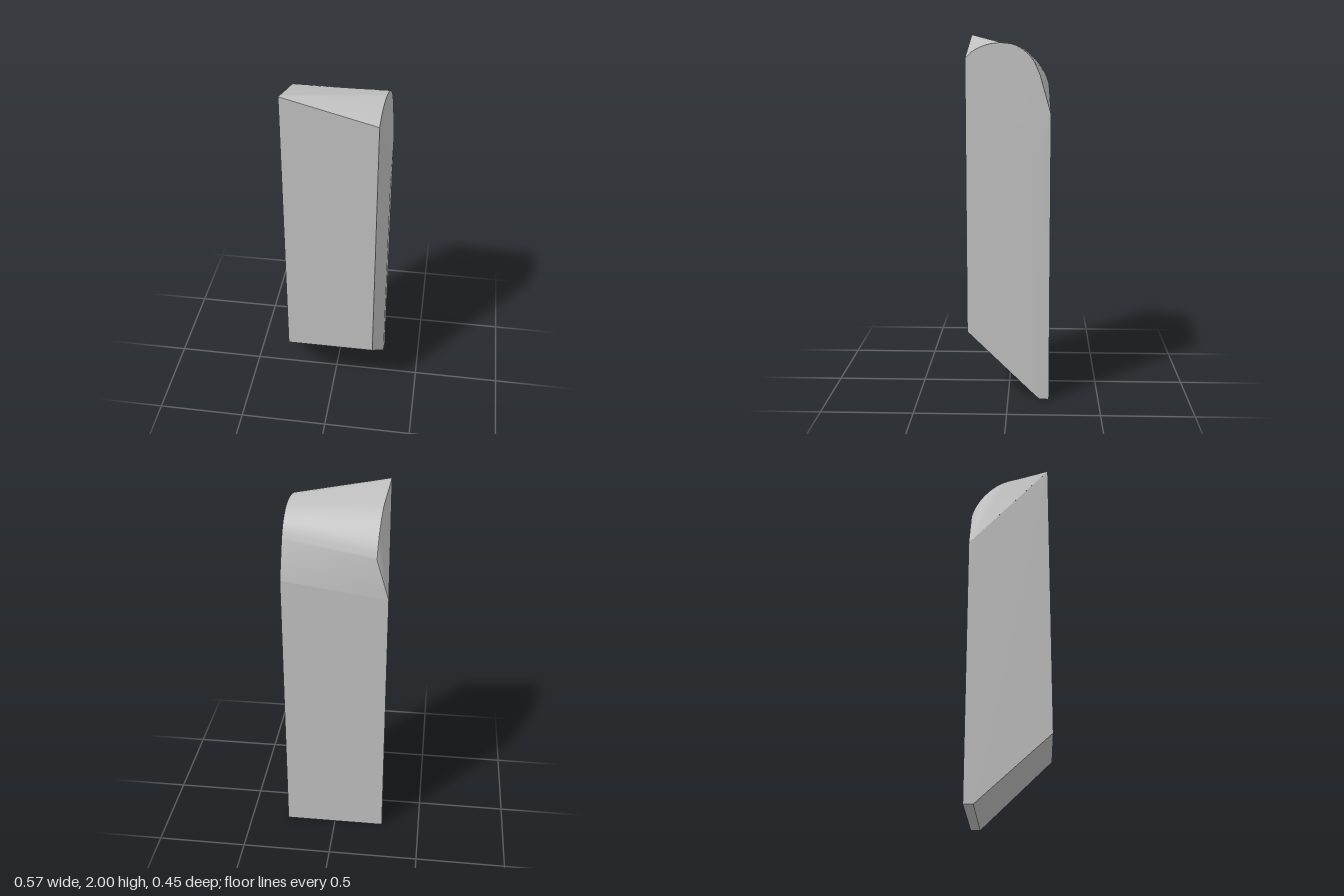
import * as THREE from 'three';

const V = (x, y, z) => new THREE.Vector3(x, y, z);

export function createModel() {
  const group = new THREE.Group();
  group.name = 'taperedBlock';
  const grey = new THREE.MeshStandardMaterial({ color: 0xc0c0c0 });
  grey.name = 'plain grey';

  // Makes one smooth surface from points and triangle indices
  function surface(name, points, index) {
    const geo = new THREE.BufferGeometry().setFromPoints(points);
    geo.setIndex(index);
    geo.computeVertexNormals();
    const mesh = new THREE.Mesh(geo, grey);
    mesh.name = name;
    group.add(mesh);
  }

  // Fan of triangles from the first point
  function fan(name, points) {
    const index = [];
    for (let i = 1; i < points.length - 1; i++) index.push(0, i, i + 1);
    surface(name, points, index);
  }

  // Corners of the body
  const frontPeak = V(-0.255, 2, 0.227);
  const frontL = V(-0.255, 0.375, 0.227), frontR = V(0.243, 0.375, 0.227);
  const toeL = V(-0.283, 0, -0.175), toeR = V(0.283, 0, -0.175);
  const heelL = V(-0.283, 0, -0.227), heelR = V(0.283, 0, -0.227);
  const backL = V(-0.283, 1.5, -0.227), backR = V(0.283, 1.58, -0.227);

  // Rounded top edges on the two sides, running front to back
  const rightX = z => 0.263 - 0.088 * z;
  const leftX = z => -0.236 - 0.085 * z;
  const edge = (pairs, xAt, n) => new THREE.CatmullRomCurve3(
    pairs.map(([z, y]) => V(xAt(z), y, z))).getPoints(n);
  const rightFront = edge([[0.227, 1.87], [0.18, 1.91], [0.11, 1.94], [0.04, 1.95]], rightX, 12);
  const rightBack = edge([[0.04, 1.95], [-0.03, 1.94], [-0.09, 1.905], [-0.135, 1.855], [-0.168, 1.785]], rightX, 24);
  const leftBack = edge([[0.227, 2], [0.08, 1.966], [-0.04, 1.937], [-0.1, 1.9], [-0.155, 1.845], [-0.2, 1.775], [-0.22, 1.72]], leftX, 24);
  const rightEdge = [...rightFront, ...rightBack.slice(1)];

  // Rounded roof: a fan at the front peak, then strips between the edges
  const left = [...leftBack, backL], right = [...rightBack, backR];
  const points = [...left, ...right, ...rightFront], index = [];
  const n = left.length, f = 2 * n;
  for (let i = 0; i < rightFront.length - 1; i++) {
    const next = i === rightFront.length - 2 ? n : f + i + 1;
    index.push(0, f + i, next);
  }
  for (let i = 0; i < n - 1; i++) {
    index.push(i, n + i, n + i + 1, i, n + i + 1, i + 1);
  }
  surface('roundedTop', points, index);

  // Side walls, with the sloped cut on the upper -x side
  fan('slopedSideCut', [backL, ...leftBack]);
  fan('rightWall', [frontPeak, backL, heelL, toeL, frontL]);
  fan('leftWall', [V(0.282, 1.3, -0.13), backR, ...rightEdge.slice().reverse(),
    frontR, V(0.283, 0.042, -0.13), toeR, heelR, backR]);

  // Front, back and underside
  fan('frontFace', [frontL, frontR, rightFront[0], frontPeak]);
  fan('backFace', [heelR, heelL, backL, backR]);
  fan('bottomBevel', [frontL, toeL, toeR, frontR]);
  fan('baseStrip', [toeL, heelL, heelR, toeR]);

  return group;
}
